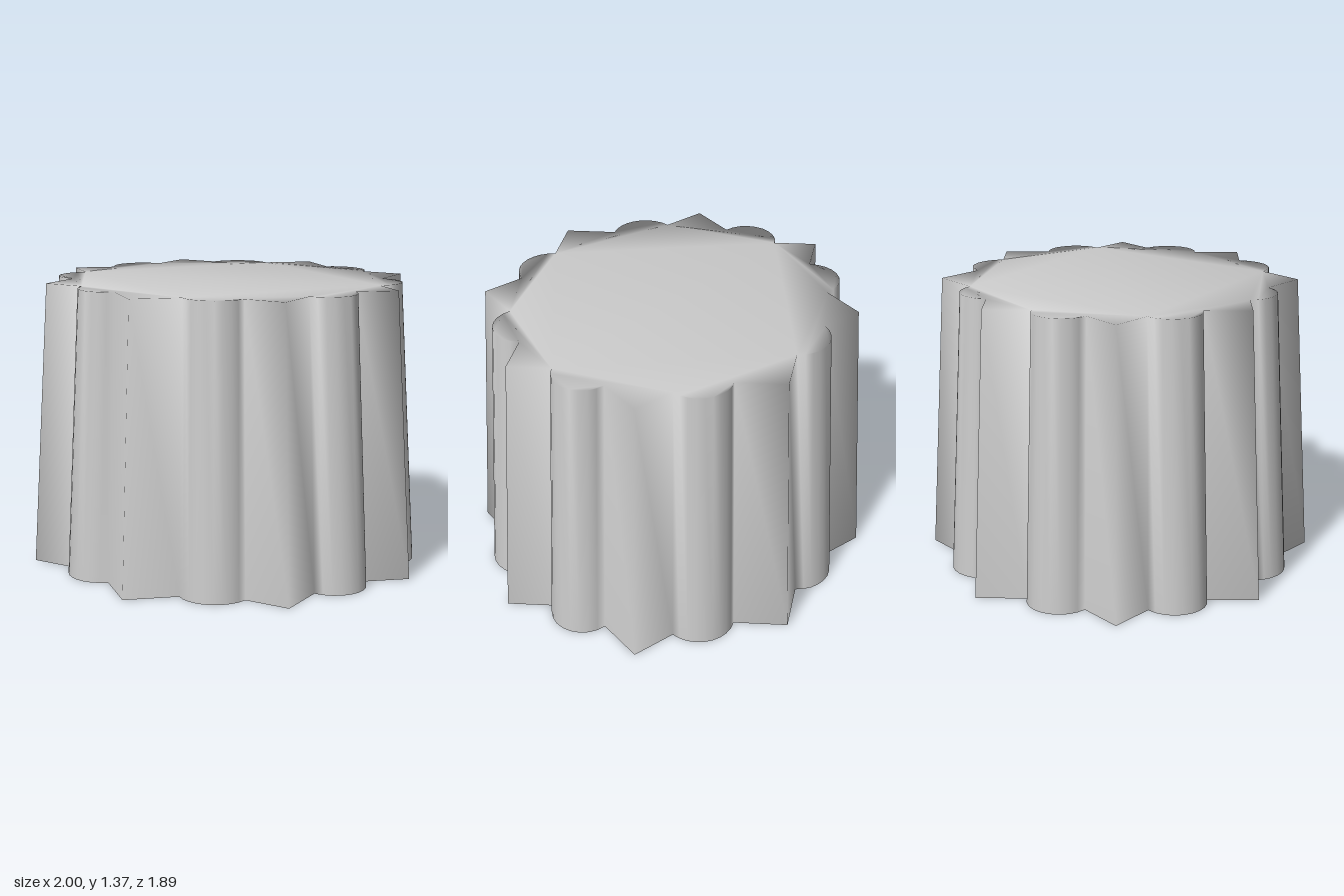
import * as THREE from 'three';

const HEIGHT = 1.37, TAPER = 0.912;

function arc(cx, cz, r, from, to, n) {
  return Array.from({ length: n + 1 }, (_, i) => {
    const a = THREE.MathUtils.degToRad(from + (to - from) * i / n);
    return new THREE.Vector2(cx + r * Math.cos(a), cz + r * Math.sin(a));
  });
}

// Star-and-lobe plan at the base: one quadrant, mirrored into four
function baseOutline() {
  const inner = [
    ...arc(0.73, 0.265, 0.156, -50, 97, 9),   // side lobe
    new THREE.Vector2(0.71, 0.663),           // square corner
    ...arc(0.31, 0.64, 0.175, 7.5, 130, 9),   // front lobe
  ];
  const flip = (pts, sx, sz) => pts.map(p => new THREE.Vector2(p.x * sx, p.y * sz));
  const back = [...inner].reverse();
  return [
    new THREE.Vector2(1, 0), ...inner,
    new THREE.Vector2(0, 0.945), ...flip(back, -1, 1),
    new THREE.Vector2(-1, 0), ...flip(inner, -1, -1),
    new THREE.Vector2(0, -0.945), ...flip(back, 1, -1),
  ];
}

export function createModel() {
  const group = new THREE.Group();
  group.name = 'flutedMould';
  const outline = baseOutline(), n = outline.length;
  const positions = [], index = [];

  // Base ring, then the smaller top ring
  outline.forEach(p => positions.push(p.x, 0, p.y));
  outline.forEach(p => positions.push(p.x * TAPER, HEIGHT, p.y * TAPER));

  // Tapered wall, open underneath
  for (let i = 0; i < n; i++) {
    const j = (i + 1) % n;
    index.push(i, n + i, n + j, i, n + j, j);
  }
  // Flat top, sharing the wall's rim so the shading runs over the edge
  for (const [a, b, c] of THREE.ShapeUtils.triangulateShape(outline, [])) {
    index.push(n + a, n + c, n + b);
  }

  const geometry = new THREE.BufferGeometry();
  geometry.setAttribute('position', new THREE.Float32BufferAttribute(positions, 3));
  geometry.setIndex(index);
  geometry.computeVertexNormals();

  const shell = new THREE.Mesh(geometry,
    new THREE.MeshStandardMaterial({ color: 0xcccccc, side: THREE.DoubleSide }));
  shell.name = 'flutedShell';
  group.add(shell);
  return group;
}
